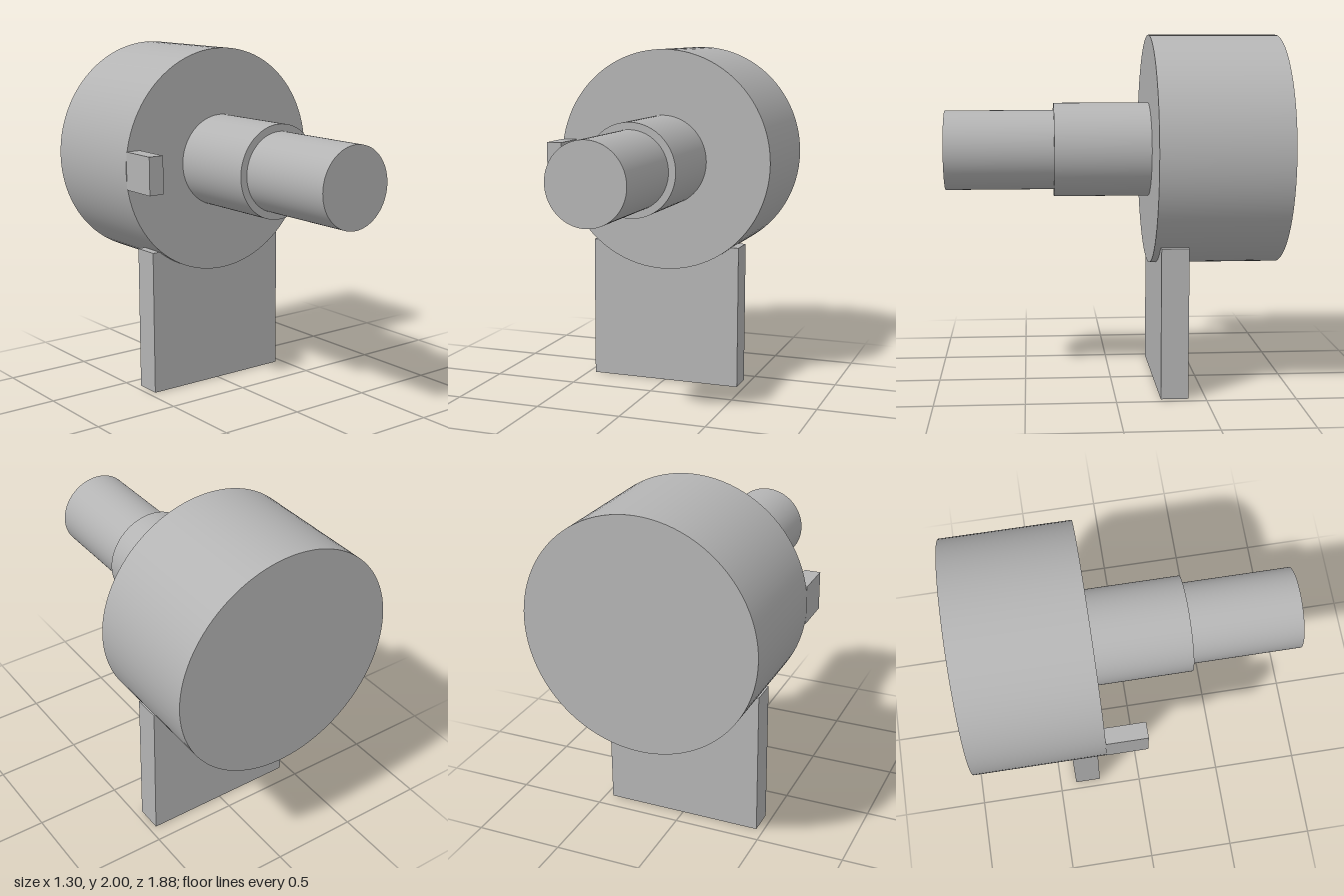
import * as THREE from 'three';

export function createModel() {
  const model = new THREE.Group();
  const grey = new THREE.MeshStandardMaterial({ color: 0xb4b4b4 });
  grey.name = 'plain grey';

  const AXIS_Y = 1.349; // height of the shared axis

  function add(name, geometry, x, y, z) {
    const mesh = new THREE.Mesh(geometry, grey);
    mesh.name = name;
    mesh.position.set(x, y, z);
    model.add(mesh);
  }

  // Round part lying along z, from z0 to z1
  function round(name, radius, z0, z1) {
    const geometry = new THREE.CylinderGeometry(radius, radius, z1 - z0, 96);
    geometry.rotateX(Math.PI / 2);
    add(name, geometry, 0, AXIS_Y, (z0 + z1) / 2);
  }

  // Box given by its ranges on each axis
  function block(name, [x0, x1], [y0, y1], [z0, z1]) {
    add(name, new THREE.BoxGeometry(x1 - x0, y1 - y0, z1 - z0),
      (x0 + x1) / 2, (y0 + y1) / 2, (z0 + z1) / 2);
  }

  // Drum with a stepped shaft toward the front
  round('drum', 0.651, -0.942, -0.214);
  round('sleeve', 0.267, -0.214, 0.327);
  round('shaft', 0.226, 0.327, 0.942);

  // Upright mounting plate under the drum
  block('mountingPlate', [-0.458, 0.458], [0, 0.845], [-0.402, -0.249]);

  // Small tab on the right edge of the drum's front face
  block('tab', [-0.647, -0.557], [1.242, 1.456], [-0.214, 0.014]);

  return model;
}
